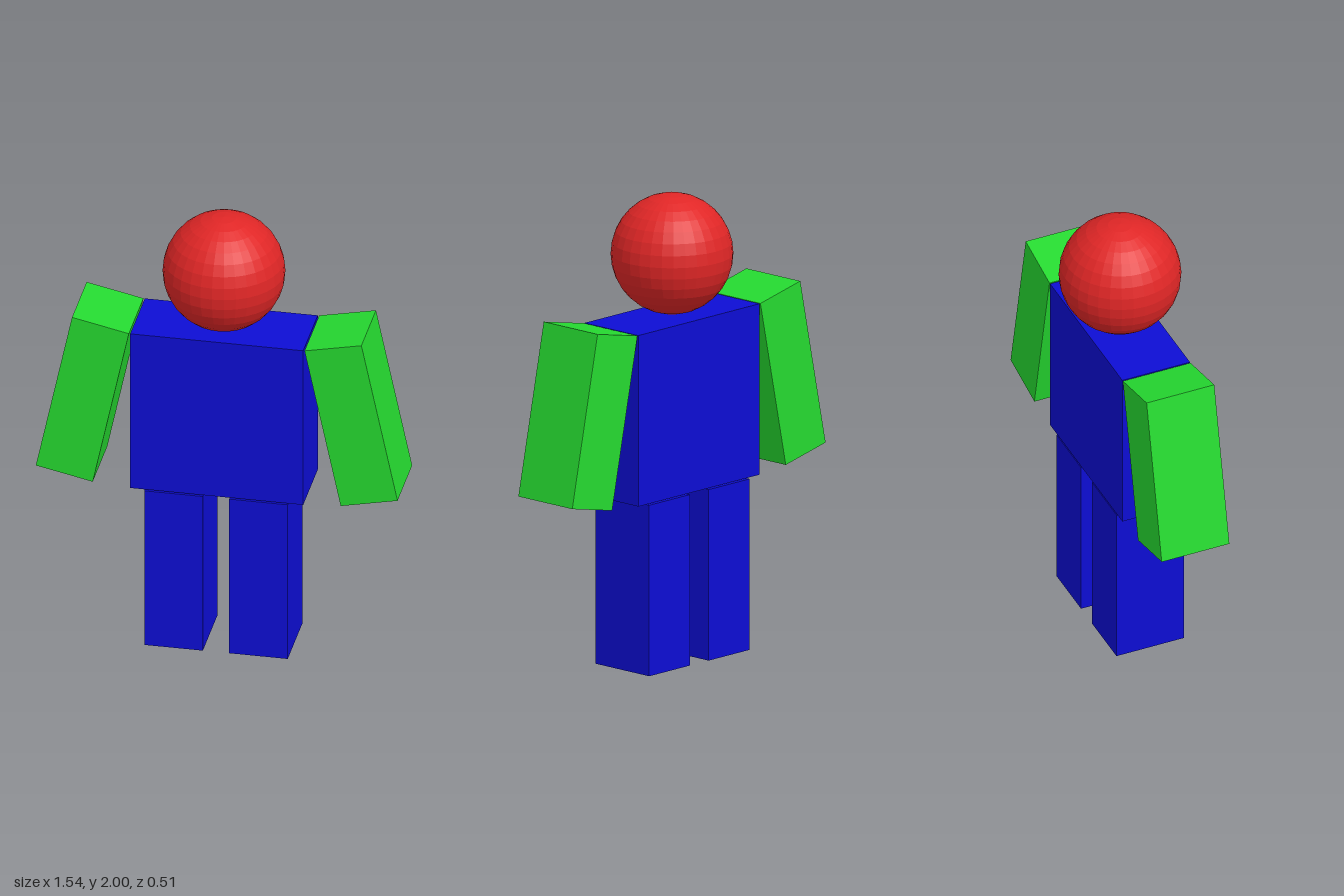
import * as THREE from 'three';

const material = (name, color, flatShading = false) => {
  const m = new THREE.MeshStandardMaterial({ color, flatShading });
  m.name = name;
  return m;
};

export function createModel() {
  const red = material('red', 0xe02626, true);
  const green = material('green', 0x25d930);
  const blue = material('blue', 0x0d0dd4);
  const depth = 0.31;

  const group = new THREE.Group();
  group.name = 'blockFigure';

  const add = (name, geometry, mat, x, y, tilt = 0) => {
    const mesh = new THREE.Mesh(geometry, mat);
    mesh.name = name;
    mesh.position.set(x, y, 0);
    mesh.rotation.z = tilt;
    group.add(mesh);
  };

  // Faceted ball head resting on the torso
  add('head', new THREE.SphereGeometry(0.257, 32, 16), red, 0, 1.743);

  // Square torso
  add('torso', new THREE.BoxGeometry(0.738, 0.738, depth), blue, 0, 1.114);

  // Limbs: arms splay outwards, legs hang straight just below the torso
  const arm = new THREE.BoxGeometry(0.248, 0.742, depth);
  const leg = new THREE.BoxGeometry(0.25, 0.738, depth);
  for (const [side, s, legX] of [['left', 1, 0.178], ['right', -1, -0.184]]) {
    add(`${side}Arm`, arm, green, s * 0.573, 1.146, s * THREE.MathUtils.degToRad(12));
    add(`${side}Leg`, leg, blue, legX, 0.369);
  }

  return group;
}
